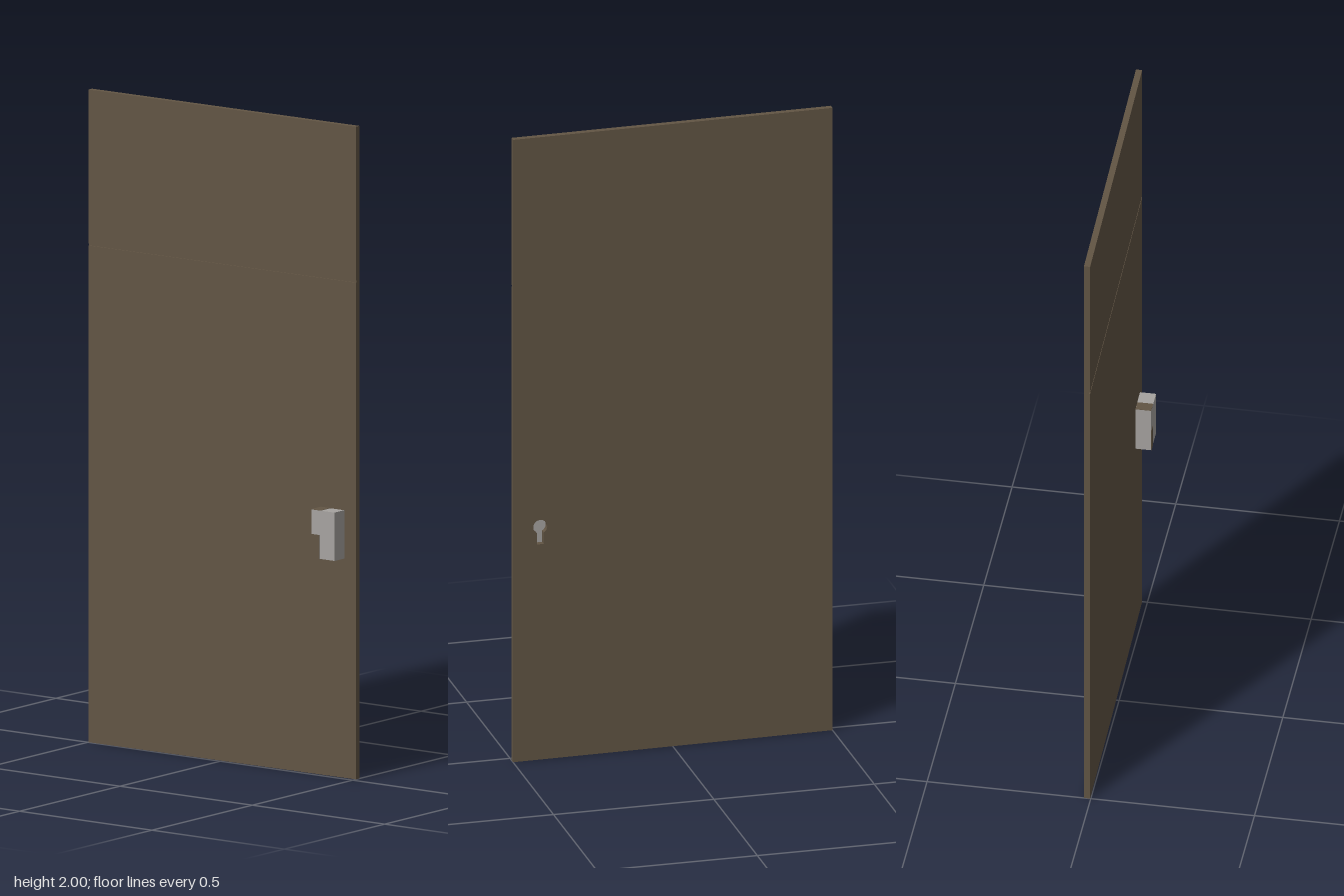
import * as THREE from 'three';

export function createModel() {
  const wood = new THREE.MeshStandardMaterial({ color: 0x625544 });
  wood.name = 'brown door';
  const steel = new THREE.MeshStandardMaterial({ color: 0xa6a3a0 });
  steel.name = 'grey metal';

  const model = new THREE.Group();
  model.name = 'lockedDoor';
  const door = new THREE.Group();
  door.name = 'door';
  model.add(door);

  const W = 1.0, H = 2, T = 0.019, groove = 0.004, seam = 1.525, gap = 0.006;
  const lockX = 0.415;

  // Keyhole outline: round top with a slot below
  const keyhole = () => {
    const path = new THREE.Path();
    const a = Math.PI / 3;
    path.absarc(lockX, 0.748, 0.022, -a, Math.PI + a, false);
    path.lineTo(lockX - 0.011, 0.692);
    path.lineTo(lockX + 0.011, 0.692);
    path.closePath();
    return path;
  };

  // Flat door layer between two heights, starting at depth z
  const layer = (name, y0, y1, z, depth, pierced) => {
    const shape = new THREE.Shape();
    shape.moveTo(-W / 2, y0);
    shape.lineTo(W / 2, y0);
    shape.lineTo(W / 2, y1);
    shape.lineTo(-W / 2, y1);
    shape.closePath();
    if (pierced) shape.holes.push(keyhole());
    const geo = new THREE.ExtrudeGeometry(shape, { depth, bevelEnabled: false, curveSegments: 10 });
    const mesh = new THREE.Mesh(geo, wood);
    mesh.name = name;
    mesh.position.z = z;
    door.add(mesh);
  };

  // Backing slab and two front panels leaving a narrow groove
  layer('backSlab', 0, H, -T / 2, T - groove, true);
  layer('lowerPanel', 0, seam - gap / 2, T / 2 - groove, groove, true);
  layer('upperPanel', seam + gap / 2, H, T / 2 - groove, groove, false);

  // Door stands very slightly ajar
  door.rotation.y = 0.014;
  door.position.z = -0.0185;

  // Lock case on the front
  const box = (name, mat, x0, x1, y0, y1, z0, z1) => {
    const mesh = new THREE.Mesh(new THREE.BoxGeometry(x1 - x0, y1 - y0, z1 - z0), mat);
    mesh.name = name;
    mesh.position.set((x0 + x1) / 2, (y0 + y1) / 2, (z0 + z1) / 2);
    model.add(mesh);
  };
  box('lockCase', steel, 0.37, 0.457, 0.672, 0.82, -0.0155, 0.034);

  // Brown patches on the case
  box('lockFrontPatch', wood, 0.37, 0.4, 0.672, 0.745, 0.034, 0.035);
  box('lockTopPatch', wood, 0.37, 0.405, 0.82, 0.821, -0.014, 0.034);

  return model;
}
